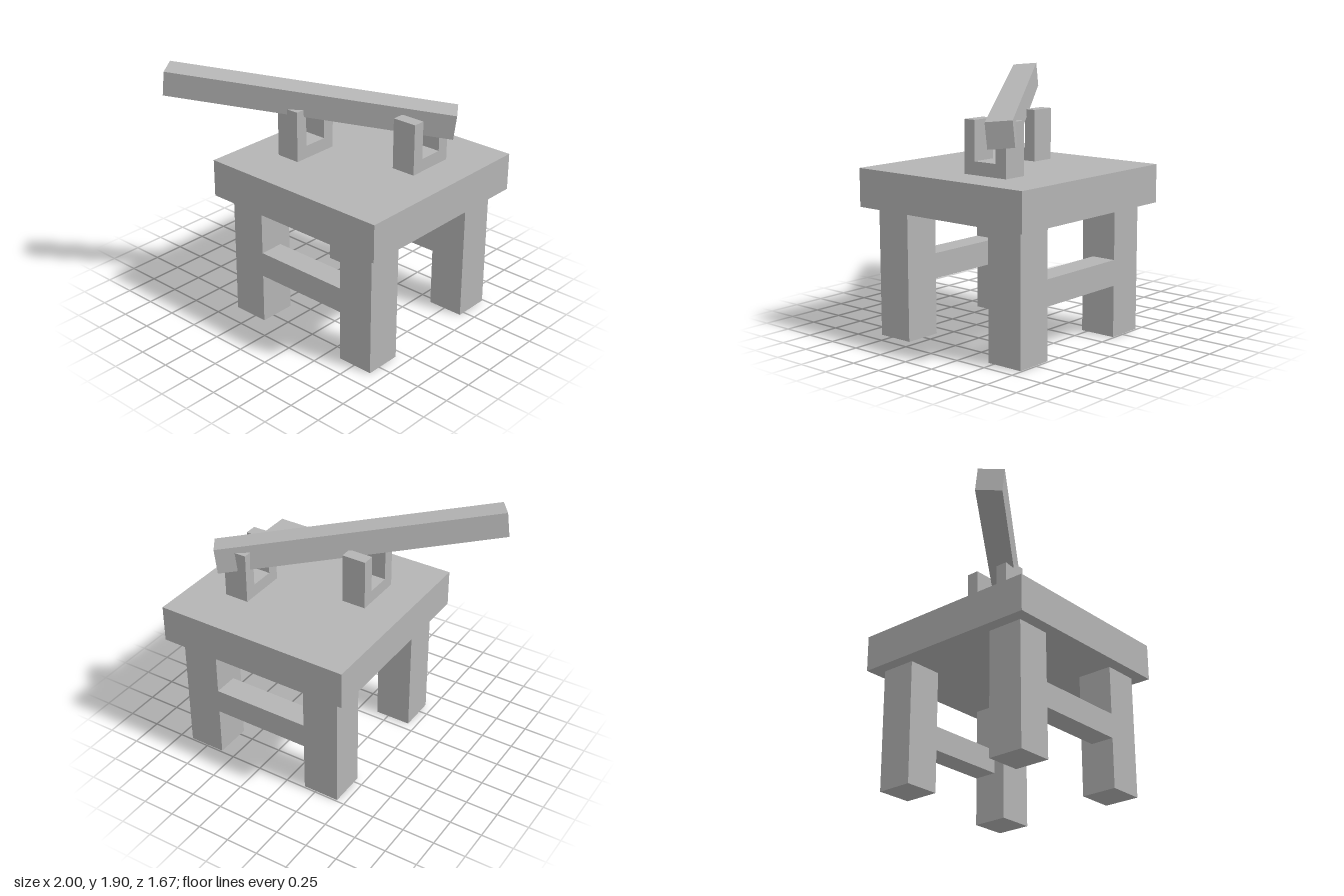
import * as THREE from 'three';

export function createModel() {
  const model = new THREE.Group();
  model.name = 'stand';
  const grey = new THREE.MeshStandardMaterial({ color: 0xb4b4b4 });
  grey.name = 'plain grey';

  const add = (name, geometry, x, y, z) => {
    const mesh = new THREE.Mesh(geometry, grey);
    mesh.name = name;
    mesh.position.set(x, y, z);
    model.add(mesh);
    return mesh;
  };
  const box = (name, w, h, d, x, y, z) => add(name, new THREE.BoxGeometry(w, h, d), x, y, z);

  // Square table top, whose middle lies off the origin
  const cx = 0.232, cz = -0.068;
  box('tableTop', 1.53, 0.285, 1.53, cx, 1.105, cz);

  // Four legs, with a rail flush with the outer face of each front and back pair
  for (const sz of [1, -1]) {
    const end = sz > 0 ? 'front' : 'back';
    for (const sx of [1, -1]) {
      box(end + (sx > 0 ? 'LeftLeg' : 'RightLeg'), 0.285, 0.963, 0.285,
        cx + sx * 0.525, 0.4815, cz + sz * 0.527);
    }
    box(end + 'Rail', 0.77, 0.192, 0.19, cx, 0.483, cz + sz * 0.5745);
  }

  // U-shaped brackets: the profile lies in the z-y plane and is extruded along x
  const profile = new THREE.Shape([
    [-0.19, 0], [0.19, 0], [0.19, 0.385], [0.095, 0.385],
    [0.095, 0.097], [-0.095, 0.097], [-0.095, 0.385], [-0.19, 0.385],
  ].map(([z, y]) => new THREE.Vector2(z, y)));
  const bracket = new THREE.ExtrudeGeometry(profile, { depth: 0.19, bevelEnabled: false });
  bracket.translate(0, 0, -0.095);
  bracket.rotateY(-Math.PI / 2);
  add('rightBracket', bracket, -0.152, 1.2475, 0.124);
  add('leftBracket', bracket, 0.615, 1.2475, -0.258);

  // Long square beam: turned about y, then tilted about z
  const beam = box('beam', 2.11, 0.19, 0.19, -0.08, 1.677, 0.152);
  beam.rotation.set(0, THREE.MathUtils.degToRad(35), THREE.MathUtils.degToRad(-8), 'ZYX');

  return model;
}
